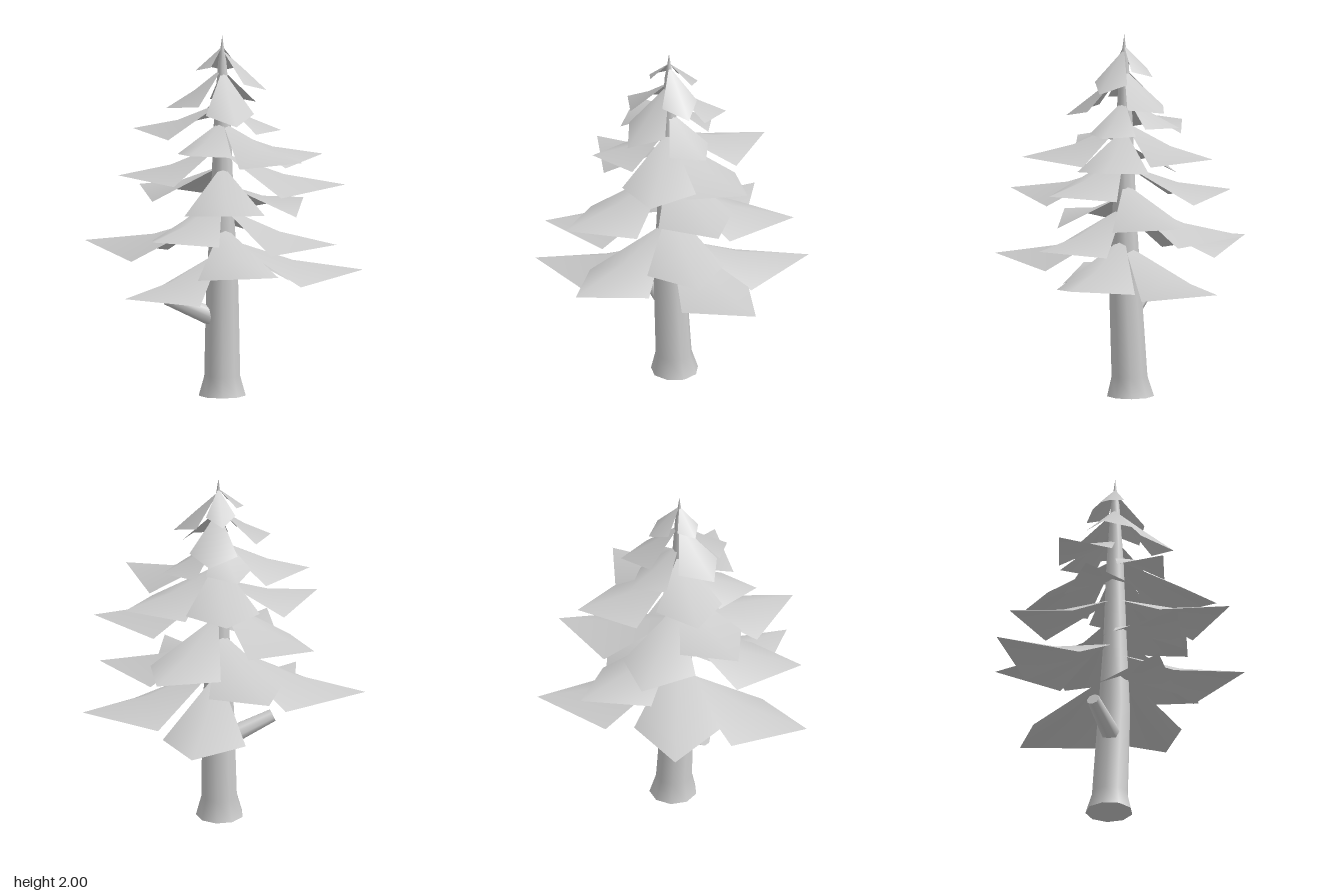
import * as THREE from 'three';

const UP = new THREE.Vector3(0, 1, 0);
const bark = new THREE.MeshStandardMaterial({ color: 0xcccccc });
const needles = new THREE.MeshStandardMaterial({ color: 0xcccccc, side: THREE.DoubleSide });

// Boughs from bottom to top: tip x, tip y, tip z, height of the root on the trunk
const BOUGHS = [
  [-0.555, 0.62, 0.52, 0.81], [0.285, 0.65, -0.72, 0.84], [0.76, 0.69, -0.06, 0.88],
  [0.14, 0.76, 0.715, 0.95], [-0.76, 0.81, -0.365, 1.01], [0.61, 0.87, 0.21, 1.05],
  [-0.16, 0.91, -0.66, 1.09], [-0.4, 0.94, 0.56, 1.11], [0.44, 1.02, -0.52, 1.18],
  [0, 1.105, 0.69, 1.28], [-0.46, 1.11, -0.43, 1.28], [0.66, 1.19, 0.12, 1.35],
  [-0.585, 1.24, 0.095, 1.4], [0.54, 1.32, -0.15, 1.48], [0.06, 1.36, -0.58, 1.52],
  [0.42, 1.355, 0.41, 1.52], [-0.2, 1.39, 0.38, 1.53], [-0.5, 1.47, -0.11, 1.63],
  [0.31, 1.47, -0.03, 1.64], [-0.055, 1.5, -0.315, 1.68], [0.06, 1.54, 0.32, 1.81],
  [0.1, 1.6, -0.3, 1.81], [-0.32, 1.61, 0.07, 1.82], [0.23, 1.7, 0.03, 1.92],
  [0, 1.78, -0.18, 1.94], [-0.16, 1.81, 0.03, 1.94],
];

// Kite-shaped bough, folded over a ridge and sagging towards its tip
function bough(x, y, z, rootY) {
  const root = new THREE.Vector3(-0.012, rootY, 0);
  const tip = new THREE.Vector3(x, y, z);
  const along = new THREE.Vector3(x - root.x, 0, z);
  const length = along.length();
  const drop = rootY - y;
  const across = new THREE.Vector3().crossVectors(UP, along).normalize();
  const halfWidth = length * (0.5 - 0.26 * length);
  const at = (t, side, height) => root.clone().addScaledVector(along, t)
    .addScaledVector(across, side * halfWidth).setY(height);
  const steep = Math.min(1, drop / length);
  const ridge = at(0.5, 0, y + drop * (0.24 + 0.3 * steep));
  const sideY = y - 0.075 * length + 0.45 * drop * Math.max(0, steep - 0.25);
  const points = [root, at(0.53, 1, sideY), tip, at(0.53, -1, sideY), ridge];
  const geo = new THREE.BufferGeometry().setFromPoints(points);
  geo.setIndex([0, 4, 1, 1, 4, 2, 2, 4, 3, 3, 4, 0].reverse());
  // keep the upper side as the front
  geo.computeVertexNormals();
  if (geo.attributes.normal.getY(4) < 0) {
    geo.setIndex(Array.from(geo.index.array).reverse());
    geo.computeVertexNormals();
  }
  return new THREE.Mesh(geo, needles);
}

export function createModel() {
  const group = new THREE.Group();

  // Tapering trunk with a flared foot, leaning slightly towards the front
  const profile = [[0.131, 0], [0.1, 0.11], [0.09, 0.6], [0.067, 1], [0.048, 1.5],
    [0.024, 1.85], [0.01, 1.93], [0, 2]].map(([r, y]) => new THREE.Vector2(r, y));
  const trunkGeo = new THREE.LatheGeometry(profile, 9);
  const pos = trunkGeo.attributes.position;
  for (let i = 0; i < pos.count; i++) {
    const lean = -0.037 * Math.max(0, 1 - pos.getY(i) / 0.7);
    pos.setXYZ(i, pos.getX(i) - 0.013, pos.getY(i), pos.getZ(i) + lean);
  }
  const trunk = new THREE.Mesh(trunkGeo, bark);
  trunk.name = 'trunk';
  group.add(trunk);

  // Underside of the trunk
  const base = new THREE.Mesh(new THREE.CircleGeometry(0.131, 9, Math.PI / 2), bark);
  base.rotation.x = Math.PI / 2;
  base.position.set(-0.013, 0, -0.037);
  base.name = 'trunkBase';
  group.add(base);

  // Broken branch stub
  const from = new THREE.Vector3(-0.03, 0.426, 0);
  const to = new THREE.Vector3(-0.318, 0.545, 0.01);
  const dir = to.clone().sub(from);
  const stub = new THREE.Mesh(new THREE.CylinderGeometry(0.037, 0.056, dir.length(), 8), bark);
  stub.position.copy(from).add(to).multiplyScalar(0.5);
  stub.quaternion.setFromUnitVectors(UP, dir.normalize());
  stub.name = 'branchStub';
  group.add(stub);

  // Boughs spiralling up the trunk
  const foliage = new THREE.Group();
  foliage.name = 'foliage';
  BOUGHS.forEach((b, i) => {
    const mesh = bough(...b);
    mesh.name = `bough${i + 1}`;
    foliage.add(mesh);
  });
  group.add(foliage);
  return group;
}
